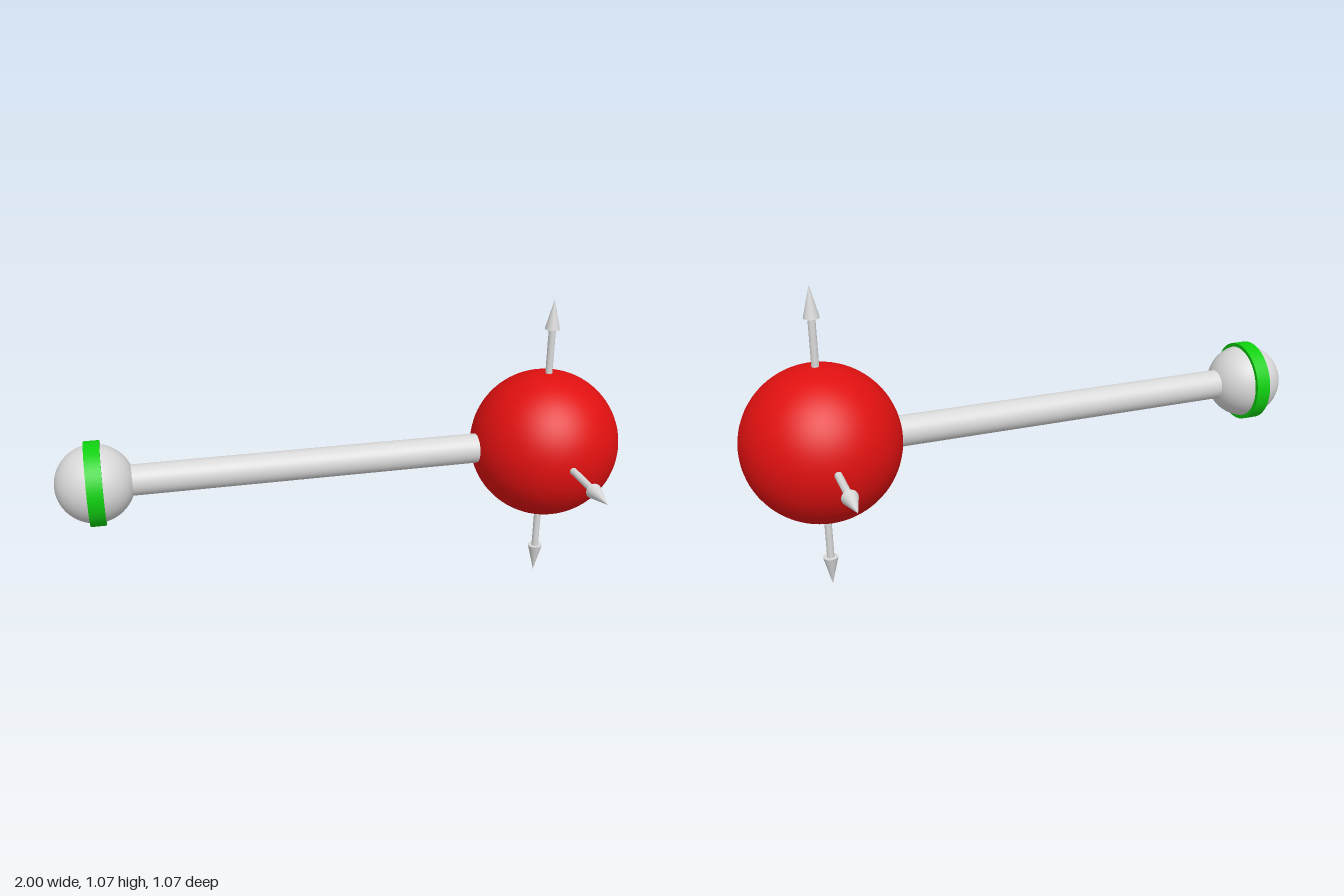
import * as THREE from 'three';

const CENTRE_Y = 0.533;
const BALL_X = 0.734;
const KNOB_X = -0.867;

export function createModel() {
  const model = new THREE.Group();
  model.name = 'ballAndRod';

  const red = new THREE.MeshStandardMaterial({ name: 'red', color: 0xe01010 });
  const grey = new THREE.MeshStandardMaterial({ name: 'light grey', color: 0xd8d8d8 });
  const green = new THREE.MeshStandardMaterial({ name: 'green', color: 0x10d010 });

  function add(parent, name, geometry, material, x = 0, y = 0) {
    const mesh = new THREE.Mesh(geometry, material);
    mesh.name = name;
    mesh.position.set(x, y, 0);
    parent.add(mesh);
    return mesh;
  }

  // Large ball and small end knob
  add(model, 'ball', new THREE.SphereGeometry(0.266, 64, 40), red, BALL_X, CENTRE_Y);
  add(model, 'knob', new THREE.SphereGeometry(0.133, 48, 32), grey, KNOB_X, CENTRE_Y);

  // Rod joining their centres
  const rod = new THREE.CylinderGeometry(0.053, 0.053, BALL_X - KNOB_X, 40);
  rod.rotateZ(Math.PI / 2);
  add(model, 'rod', rod, grey, (BALL_X + KNOB_X) / 2, CENTRE_Y);

  // Flat band around the knob
  const band = new THREE.CylinderGeometry(0.144, 0.144, 0.053, 64);
  band.rotateZ(Math.PI / 2);
  add(model, 'knobBand', band, green, KNOB_X, CENTRE_Y);

  // Four arrows pointing up, front, down and back from the ball
  const shaft = new THREE.CylinderGeometry(0.0125, 0.0125, 0.21, 24);
  const head = new THREE.ConeGeometry(0.0265, 0.106, 24);
  ['upArrow', 'frontArrow', 'downArrow', 'backArrow'].forEach((name, i) => {
    const arrow = new THREE.Group();
    arrow.name = name;
    add(arrow, 'arrowShaft', shaft, grey, 0, 0.325);
    add(arrow, 'arrowHead', head, grey, 0, 0.48);
    arrow.position.set(BALL_X, CENTRE_Y, 0);
    arrow.rotation.x = (i * Math.PI) / 2;
    model.add(arrow);
  });

  return model;
}
